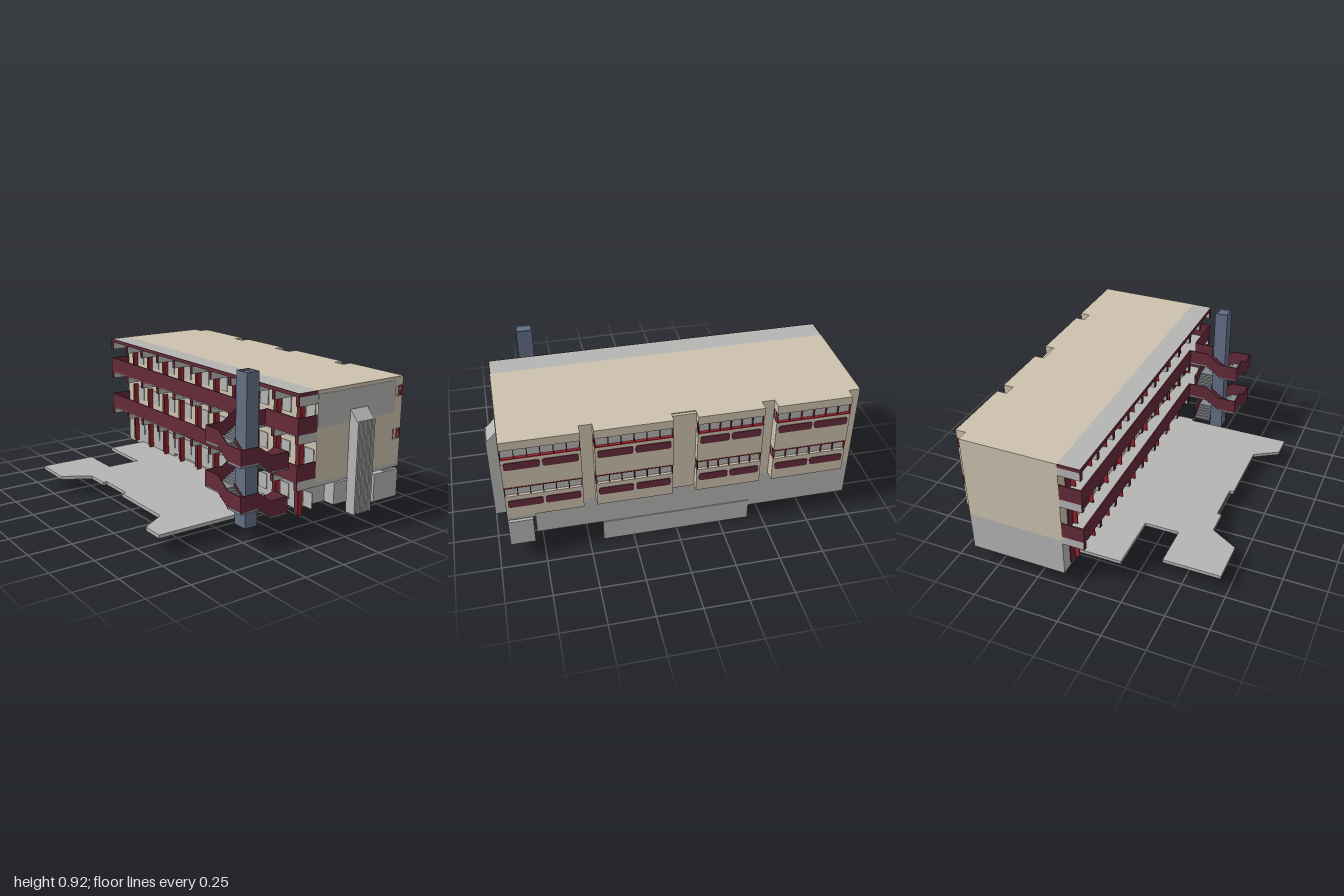
import * as THREE from 'three';

const mat = (name, color) => {
  const m = new THREE.MeshStandardMaterial({ color, side: THREE.DoubleSide, flatShading: true });
  m.name = name;
  return m;
};

export function createModel() {
  const tan = mat('tan render', 0xcdc2ae);
  const grey = mat('concrete grey', 0xb5b5b4);
  const maroon = mat('maroon', 0x642a39);
  const red = mat('bright red', 0x98232c);
  const blue = mat('slate blue', 0x626f86);
  const stone = mat('dark stone', 0x84898d);
  const root = new THREE.Group();

  // box from its minimum and maximum on each axis
  const box = (name, m, x0, x1, y0, y1, z0, z1, parent = root) => {
    const mesh = new THREE.Mesh(new THREE.BoxGeometry(x1 - x0, y1 - y0, z1 - z0), m);
    mesh.position.set((x0 + x1) / 2, (y0 + y1) / 2, (z0 + z1) / 2);
    mesh.name = name;
    parent.add(mesh);
    return mesh;
  };
  // outline in two axes, extruded along the third
  const prism = (name, m, pts, depth, parent = root) => {
    const shape = new THREE.Shape(pts.map(([a, b]) => new THREE.Vector2(a, b)));
    const mesh = new THREE.Mesh(new THREE.ExtrudeGeometry(shape, { depth, bevelEnabled: false }), m);
    mesh.name = name;
    parent.add(mesh);
    return mesh;
  };

  // main block and its grey front panel
  box('mainBlock', tan, 0.08, 0.645, 0.32, 0.82, -1, 0.935);
  box('frontPanel', grey, 0.08, 0.645, 0.62, 0.8, 0.933, 0.938);
  box('shaftWall', tan, 0.645, 0.662, 0.32, 0.815, -0.1, 0.04);

  // projecting bays with window strips and rounded panels
  const pill = (z0, z1, y0, y1) => {
    const r = 0.014, s = new THREE.Shape();
    s.moveTo(z0 + r, y0);
    s.lineTo(z1 - r, y0); s.quadraticCurveTo(z1, y0, z1, y0 + r);
    s.lineTo(z1, y1 - r); s.quadraticCurveTo(z1, y1, z1 - r, y1);
    s.lineTo(z0 + r, y1); s.quadraticCurveTo(z0, y1, z0, y1 - r);
    s.lineTo(z0, y0 + r); s.quadraticCurveTo(z0, y0, z0 + r, y0);
    const mesh = new THREE.Mesh(new THREE.ExtrudeGeometry(s, { depth: 0.004, bevelEnabled: false, curveSegments: 4 }), maroon);
    mesh.rotation.y = -Math.PI / 2;
    mesh.position.x = 0.709;
    mesh.name = 'bayPanel';
    root.add(mesh);
  };
  for (const [z0, z1] of [[0.525, 0.935], [0.455 - 0.415, 0.455], [-0.45, -0.09], [-0.935, -0.52]]) {
    for (const [y0, y1] of [[0.32, 0.465], [0.525, 0.71], [0.77, 0.82]]) {
      box('bayBand', tan, 0.645, 0.705, y0, y1, z0, z1);
    }
    for (const [y0, y1, rail] of [[0.465, 0.525, 0.521], [0.71, 0.77, 0.712]]) {
      box('bayWindow', grey, 0.645, 0.69, y0, y1, z0 + 0.004, z1 - 0.004);
      box('windowRail', red, 0.69, 0.706, rail - 0.003, rail + 0.003, z0, z1);
      for (let i = 0; i <= 6; i++) {
        const z = z0 + 0.004 + (z1 - z0 - 0.008) * i / 6;
        box('mullion', i % 2 ? maroon : red, 0.69, 0.704, y0, y1, z - 0.002, z + 0.002);
      }
      for (const x of [0.648, 0.676]) {
        for (const z of [z0 + 0.002, z1 - 0.002]) box('endMullion', red, x, x + 0.004, y0, y1, z - 0.002, z + 0.002);
      }
    }
    const mid = (z0 + z1) / 2;
    for (const y of [0.39, 0.643]) {
      pill(z0 + 0.013, mid - 0.006, y, y + 0.046);
      pill(mid + 0.006, z1 - 0.013, y, y + 0.046);
    }
  }

  // ground storey and overhang at the front
  box('rearBase', grey, 0.08, 0.645, 0.09, 0.32, -1, -0.42);
  box('base', grey, 0.08, 0.645, 0.13, 0.32, -0.42, 0.785);
  box('overhangSlab', grey, 0.08, 0.705, 0.3, 0.32, 0.785, 0.935);
  box('cornerWall', grey, 0.08, 0.1, 0.11, 0.3, 0.77, 0.8);
  box('frontLobby', grey, 0.29, 0.46, 0.13, 0.257, 0.785, 0.86);
  box('cornerRoom', grey, 0.52, 0.705, 0.12, 0.283, 0.8, 0.935);
  box('cornerRoomCap', grey, 0.6, 0.68, 0.283, 0.3, 0.81, 0.92);

  // open basement with stepped seating
  for (const x of [0.1, 0.63]) box('basementWall', grey, x, x + 0.02, 0, 0.13, -0.42, 0.42);
  box('basementBackWall', grey, 0.12, 0.63, 0.02, 0.13, -0.42, -0.4);
  for (let i = 0; i < 8; i++) {
    const z = 0.3 - i * 0.045;
    box('seatingStep', grey, 0.12, 0.63, 0.02 + i * 0.011, 0.034 + i * 0.011, z - 0.045, z);
  }

  // paved terrace
  const terrace = prism('terrace', grey, [
    [-0.71, -0.72], [-0.375, -0.72], [-0.375, -0.475], [-0.17, -0.475], [-0.17, -0.82], [0.08, -0.82],
    [0.1, -0.42], [0.1, 0.65], [-0.05, 0.65], [-0.05, 0.63], [-0.695, 0.63], [-0.695, 0.5], [-0.55, 0.41],
    [-0.55, -0.005], [-0.525, -0.005], [-0.525, -0.235], [-0.55, -0.235], [-0.55, -0.38], [-0.71, -0.475],
  ].map(([x, z]) => [x, -z]), 0.02);
  terrace.rotation.x = -Math.PI / 2;
  terrace.position.y = 0.09;

  // front duct with sloped hood and ribs
  const duct = prism('duct', grey, [[0.935, 0.11], [0.993, 0.11], [0.993, 0.63], [0.935, 0.69]], 0.125);
  duct.rotation.y = -Math.PI / 2;
  duct.scale.z = -1;
  duct.geometry.scale(1, 1, -1);
  // place the profile so its first axis runs along z
  duct.geometry.dispose();
  duct.geometry = new THREE.ExtrudeGeometry(
    new THREE.Shape([[-0.993, 0.11], [-0.935, 0.11], [-0.935, 0.69], [-0.993, 0.63]].map(p => new THREE.Vector2(...p))),
    { depth: 0.125, bevelEnabled: false });
  duct.scale.z = 1;
  duct.rotation.y = Math.PI / 2;
  duct.position.x = 0.31;
  for (let i = 0; i < 5; i++) {
    const x = 0.31 + i * 0.028;
    box('ductRib', grey, x, x + 0.013, 0.11, 0.63, 0.993, 1);
  }

  // access galleries with parapets, brackets and end panels
  for (const y of [0.35, 0.6]) {
    box('galleryFloor', grey, -0.045, 0.08, y - 0.012, y, -1, 0.935);
    const top = y + 0.09;
    box('galleryParapet', maroon, -0.05, -0.042, y - 0.004, top, -1, 0.56);
    box('galleryParapet', maroon, -0.05, -0.042, y - 0.004, top, 0.67, 0.935);
    for (const z of [-1, 0.927]) box('galleryEnd', maroon, -0.05, 0.08, y, top, z, z + 0.008);
  }
  box('galleryRoof', grey, -0.045, 0.08, 0.8, 0.82, -0.995, 0.93);
  box('roofFascia', maroon, -0.05, -0.045, 0.8, 0.82, -1, 0.935);
  for (const z of [-1, 0.93]) box('roofEndFascia', maroon, -0.05, 0.08, 0.8, 0.82, z, z + 0.005);
  const bays = 10;
  for (const y of [0.3, 0.55, 0.75]) {
    for (let i = 0; i <= bays; i++) {
      const z = -1 + i * (1.935 - 0.022) / bays;
      box('bracket', grey, -0.044, 0.08, y, y + 0.05, z, z + 0.022);
      box('bracketCap', maroon, -0.05, -0.044, y, y + 0.05, z, z + 0.022);
    }
  }

  // doors, fins and windows along the galleries
  for (const y of [0.11, 0.35, 0.6]) {
    for (let i = 0; i < bays; i++) {
      const z = -0.93 + i * 0.19;
      box('door', maroon, 0.074, 0.08, y, y + 0.155, z, z + 0.05);
      box('doorFin', red, 0.05, 0.08, y, y + 0.165, z + 0.053, z + 0.06);
      box('galleryWindow', grey, 0.075, 0.08, y + 0.06, y + 0.15, z + 0.07, z + 0.14);
    }
  }

  // stair tower: hollow column with quarter landings winding down around it
  const column = new THREE.Group();
  column.name = 'stairColumn';
  root.add(column);
  box('columnCore', blue, -0.238, -0.172, 0.08, 0.91, 0.677, 0.753, column);
  for (const x of [-0.245, -0.172]) box('columnSide', blue, x, x + 0.007, 0.08, 0.92, 0.67, 0.76, column);
  for (const z of [0.67, 0.753]) box('columnFace', blue, -0.238, -0.172, 0.08, 0.92, z, z + 0.007, column);

  const drop = 0.0615;
  for (let k = 0; k < 8; k++) {
    const quarter = new THREE.Group();
    quarter.name = 'stairQuarter';
    quarter.position.set(-0.205, 0.6 - k * drop, 0.715);
    quarter.rotation.y = -Math.PI + k * Math.PI / 2;
    root.add(quarter);
    box('landing', stone, -0.155, -0.043, -0.012, 0, 0.043, 0.155, quarter);
    for (let i = 0; i < 5; i++) {
      const x = -0.043 + i * 0.0172, y = -(i + 1) * drop / 6;
      box('tread', stone, x, x + 0.0172, y - 0.012, y, 0.047, 0.15, quarter);
    }
    const outer = prism('stairParapet', maroon, [
      [-0.155, -0.005], [-0.043, -0.005], [0.043, -drop - 0.005], [0.043, 0.085 - drop], [-0.043, 0.085], [-0.155, 0.085],
    ], 0.006, quarter);
    outer.position.z = 0.149;
    const inner = prism('innerStringer', maroon, [
      [-0.043, -0.012], [0.043, -drop - 0.012], [0.043, 0.02 - drop], [-0.043, 0.02],
    ], 0.004, quarter);
    inner.position.z = 0.044;
    if (k % 4) box('landingParapet', maroon, -0.155, -0.149, -0.005, 0.085, 0.043, 0.155, quarter);
    if (k === 0) box('landingEnd', maroon, -0.155, -0.043, -0.005, 0.085, 0.043, 0.049, quarter);
  }
  return root;
}
